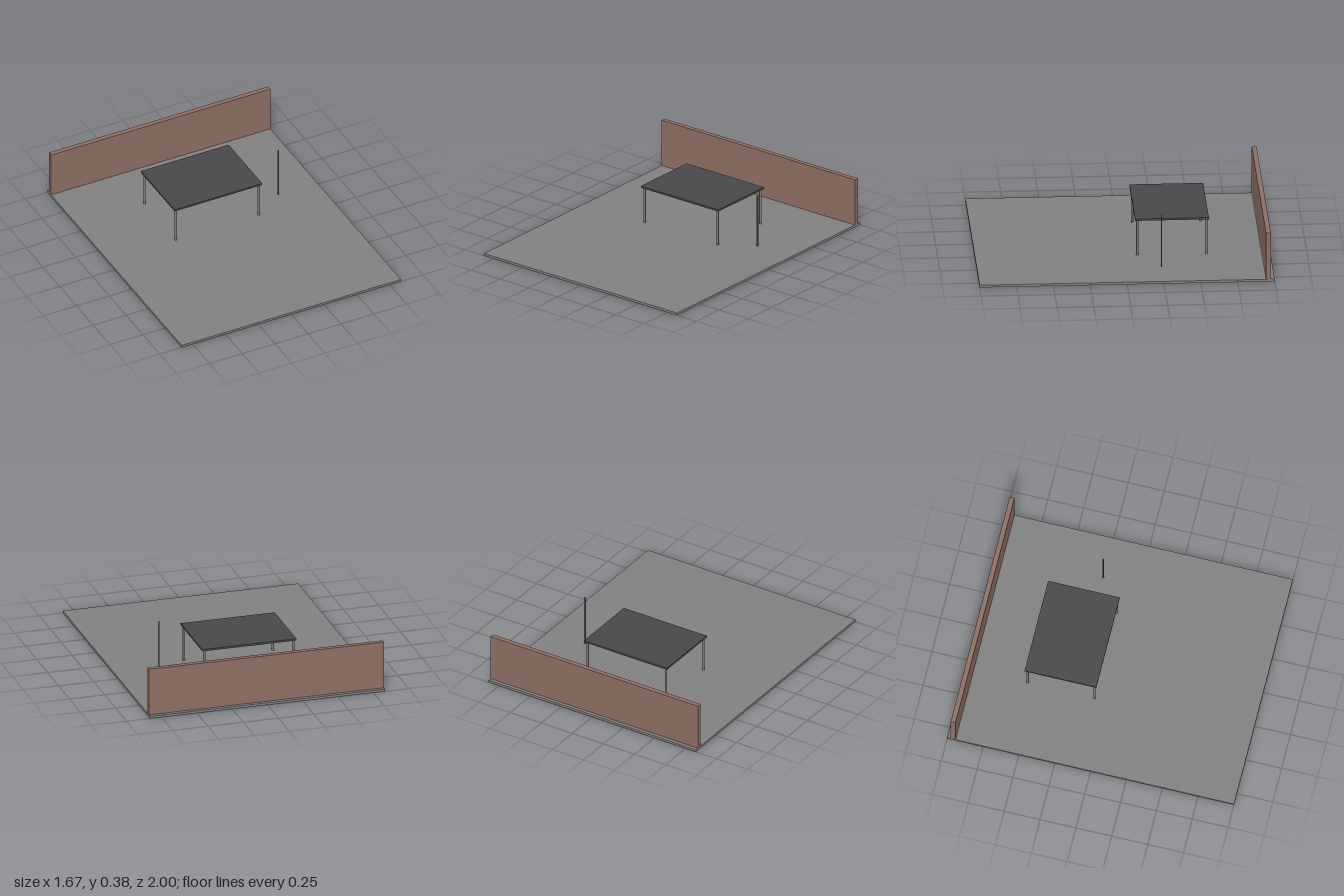
import * as THREE from 'three';

const FLOOR = 0.0167;

export function createModel() {
  const group = new THREE.Group();
  const mat = (color) => new THREE.MeshStandardMaterial({ color });

  const add = (name, geometry, material, x, y, z, parent = group) => {
    const mesh = new THREE.Mesh(geometry, material);
    mesh.name = name;
    mesh.position.set(x, y, z);
    parent.add(mesh);
    return mesh;
  };
  const box = (w, h, d) => new THREE.BoxGeometry(w, h, d);

  // Ground slab and the low wall along its back edge
  add('floorSlab', box(1.667, FLOOR, 2), mat(0x808080), 0, FLOOR / 2, 0);
  add('backWall', box(1.667, 0.333, 0.0333), mat(0x8d6e63), 0, FLOOR + 0.1667, -0.9583);

  // Table: thin dark top on four slender round legs
  const table = new THREE.Group();
  table.name = 'table';
  table.position.set(0, FLOOR, -0.3333);
  group.add(table);
  const topThickness = 0.0133;
  const legHeight = 0.2533;
  add('tableTop', box(0.6667, topThickness, 0.5), mat(0x48484a), 0, legHeight + topThickness / 2, 0, table);
  const legGeometry = new THREE.CylinderGeometry(0.0083, 0.0083, legHeight, 16);
  const legMaterial = mat(0x7c7a74);
  for (const sx of [-1, 1]) {
    for (const sz of [-1, 1]) {
      add('tableLeg', legGeometry, legMaterial, sx * 0.315, legHeight / 2, sz * 0.2333, table);
    }
  }

  // Thin upright post beside the table
  const postHeight = 0.367;
  add('post', box(0.01, postHeight, 0.0067), mat(0x666666), 0.54, FLOOR + postHeight / 2, -0.25);

  return group;
}
